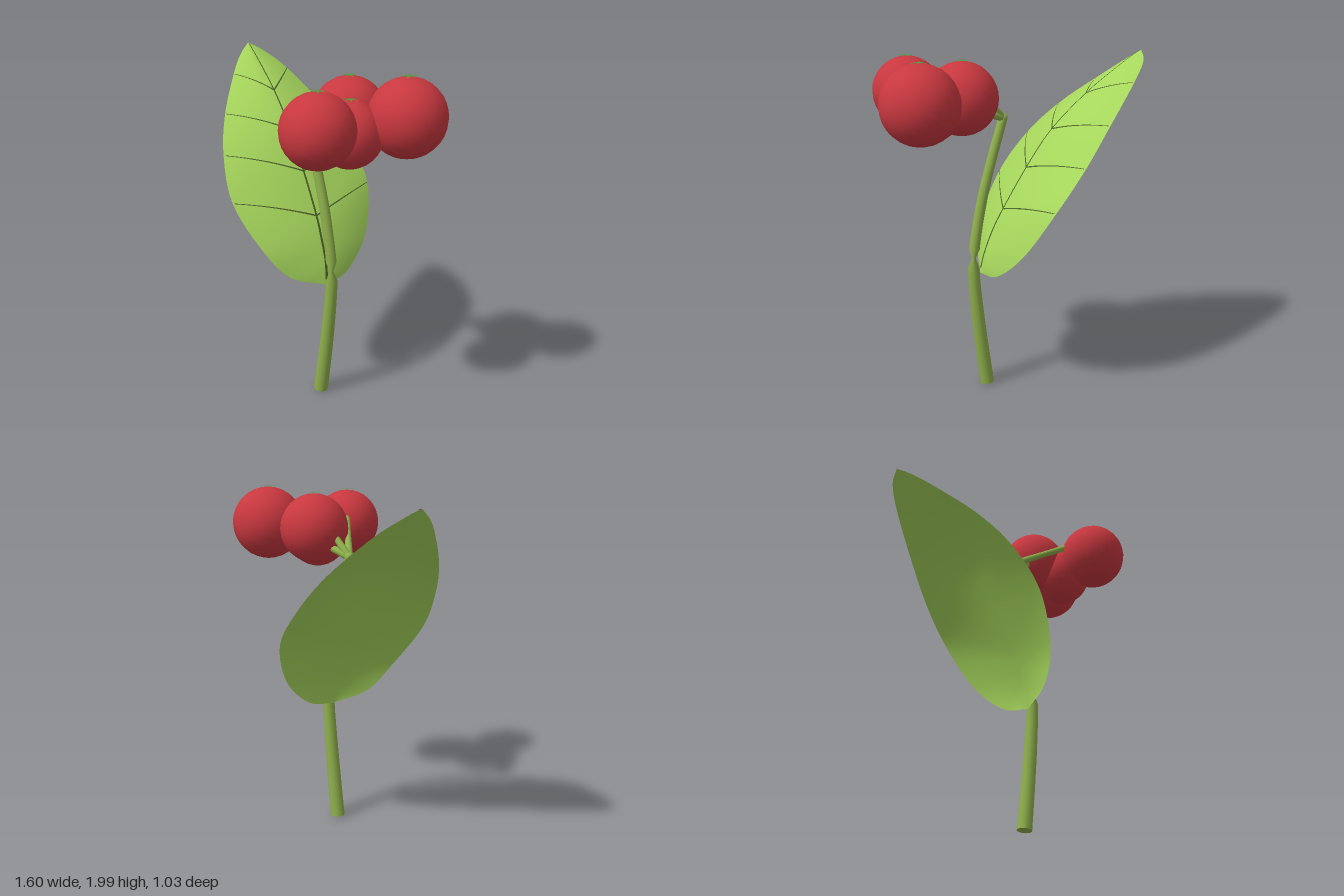
import * as THREE from 'three';

const V = (p) => new THREE.Vector3(...p);
const mat = (name, color, side = THREE.FrontSide) => {
  const m = new THREE.MeshStandardMaterial({ color, side });
  m.name = name;
  return m;
};

// Tube through points [x, y, z, radius], with the radius interpolated
function taperedTube(stops, rings, sides) {
  const curve = new THREE.CatmullRomCurve3(stops.map(([x, y, z]) => new THREE.Vector3(x, y, z)));
  curve.getPointAt = curve.getPoint;
  curve.getTangentAt = curve.getTangent;
  const geo = new THREE.TubeGeometry(curve, rings, 1, sides);
  const { position, normal } = geo.attributes;
  const n = new THREE.Vector3();
  for (let i = 0; i <= rings; i++) {
    const t = i / rings, f = t * (stops.length - 1);
    const k = Math.min(Math.floor(f), stops.length - 2);
    const r = THREE.MathUtils.lerp(stops[k][3], stops[k + 1][3], f - k);
    const c = curve.getPoint(t);
    for (let j = 0; j <= sides; j++) {
      const id = i * (sides + 1) + j;
      n.fromBufferAttribute(normal, id).multiplyScalar(r).add(c);
      position.setXYZ(id, n.x, n.y, n.z);
    }
  }
  return geo;
}

// Surface grid from a point function
function gridGeometry(point, rows, cols) {
  const pos = [], index = [];
  for (let i = 0; i <= rows; i++)
    for (let j = 0; j <= cols; j++) {
      pos.push(...point(i / rows, j / cols).toArray());
      if (i < rows && j < cols) {
        const a = i * (cols + 1) + j, b = a + cols + 1;
        index.push(a, a + 1, b, b, a + 1, b + 1);
      }
    }
  const geo = new THREE.BufferGeometry();
  geo.setAttribute('position', new THREE.Float32BufferAttribute(pos, 3));
  geo.setIndex(index);
  geo.computeVertexNormals();
  return geo;
}

// Leaf: midrib and two edges, sampled at matching stations
const BASE = [0.155, 0.73, 0], TIP = [-0.8, 1.97, -0.21];
const leafCurve = (pts) => new THREE.CatmullRomCurve3([BASE, ...pts, TIP].map(V), false, 'catmullrom', 0.5);
const midrib = leafCurve([[0.13, 0.86, -0.015], [0.08, 0.99, -0.025], [0.02, 1.11, -0.04], [-0.12, 1.34, -0.065],
  [-0.27, 1.55, -0.095], [-0.47, 1.74, -0.14], [-0.66, 1.88, -0.18]]);
const frontEdge = leafCurve([[0.06, 0.8, 0.19], [-0.04, 0.97, 0.31], [-0.22, 1.22, 0.375], [-0.38, 1.45, 0.31],
  [-0.53, 1.64, 0.18], [-0.69, 1.82, -0.01], [-0.765, 1.91, -0.12]]);
const backEdge = leafCurve([[0.15, 0.77, -0.18], [0.1, 0.94, -0.37], [-0.02, 1.2, -0.495], [-0.2, 1.42, -0.505],
  [-0.39, 1.62, -0.46], [-0.62, 1.82, -0.37], [-0.75, 1.92, -0.29]]);
const STATIONS = 8;

function leafPoint(t, u) {
  const s = Math.abs(u);
  const p = midrib.getPoint(t).lerp((u > 0 ? frontEdge : backEdge).getPoint(t), s);
  const bulge = 0.06 * s * (1 - s) * Math.sin(Math.PI * t);
  return p.add(new THREE.Vector3(bulge, bulge, 0));
}

function leafNormal(t, u) {
  const e = 0.01, c = THREE.MathUtils.clamp(t, 0.02, 0.98);
  const dt = leafPoint(c + e, u).sub(leafPoint(c - e, u));
  const du = leafPoint(c, u + e).sub(leafPoint(c, u - e));
  const n = dt.cross(du).normalize();
  return n.x + n.y < 0 ? n.negate() : n;
}

// Ribbon just above the leaf face, along (t, u) given by path(k)
function veinGeometry(path, w0, w1, lift) {
  return gridGeometry((k, side) => {
    const [t, u] = path(k);
    const a = leafPoint(...path(Math.max(k - 0.02, 0))), b = leafPoint(...path(Math.min(k + 0.02, 1)));
    const n = leafNormal(t, u);
    const across = b.sub(a).cross(n).normalize();
    return leafPoint(t, u).addScaledVector(n, lift)
      .addScaledVector(across, (side - 0.5) * THREE.MathUtils.lerp(w0, w1, k));
  }, 24, 1);
}

// Narrow six-pointed calyx with swept points
function calyxGeometry() {
  const shape = new THREE.Shape();
  for (let i = 0; i < 12; i++) {
    const r = i % 2 ? 0.014 : 0.056, a = (i / 12) * Math.PI * 2 + (i % 2 ? 0.22 : 0);
    shape[i ? 'lineTo' : 'moveTo'](r * Math.cos(a), r * Math.sin(a));
  }
  return new THREE.ShapeGeometry(shape).rotateX(-Math.PI / 2);
}

export function createModel() {
  const group = new THREE.Group();
  group.name = 'berrySprig';
  const stemMat = mat('stemGreen', 0x8fb04c);
  const leafMat = mat('leafGreen', 0xa6d65c, THREE.DoubleSide);
  const veinMat = mat('veinGreen', 0x4a5f28, THREE.DoubleSide);
  const berryMat = mat('berryRed', 0xc8383f);
  const calyxMat = mat('calyxGreen', 0x4f9a38, THREE.DoubleSide);
  const add = (name, geo, material, parent = group) => {
    const m = new THREE.Mesh(geo, material);
    m.name = name;
    parent.add(m);
    return m;
  };

  // Main stem with a pinched node
  add('lowerStem', taperedTube([[0.115, 0.01, 0, 0.043], [0.148, 0.25, 0, 0.041], [0.178, 0.5, 0, 0.038],
    [0.195, 0.68, 0, 0.035], [0.199, 0.77, 0, 0.034], [0.197, 0.83, 0, 0.01]], 40, 14), stemMat);
  add('upperStem', taperedTube([[0.197, 0.83, 0, 0.01], [0.193, 0.89, 0, 0.031], [0.168, 1.04, 0, 0.03],
    [0.128, 1.22, 0, 0.029], [0.075, 1.4, 0, 0.028], [0, 1.63, 0, 0.026]], 40, 14), stemMat);
  const cap = add('stemBase', new THREE.CircleGeometry(0.043, 14), stemMat);
  cap.position.set(0.115, 0.01, 0);
  cap.rotation.set(Math.PI / 2, -0.13, 0);
  add('stemJoint', new THREE.SphereGeometry(0.027, 14, 10), stemMat).position.set(0, 1.63, 0);

  // Berries with calyx and stalk: centre, radius, stalk end
  const berries = [
    [[0.425, 1.77, 0.32], 0.195, [0.3, 1.82, 0.22]],
    [[0.28, 1.77, -0.035], 0.198, [0.17, 1.79, -0.02]],
    [[0.585, 1.785, -0.15], 0.21, [0.45, 1.78, -0.1]],
    [[0.41, 1.705, 0.085], 0.178, [0.29, 1.74, 0.06]],
  ];
  berries.forEach(([c, r, end], i) => {
    const berry = new THREE.Group();
    berry.name = 'berry' + (i + 1);
    berry.position.set(...c);
    add('fruit', new THREE.SphereGeometry(r, 24, 16), berryMat, berry);
    const star = add('calyx', calyxGeometry(), calyxMat, berry);
    star.position.y = r + 0.004;
    star.rotation.y = 0.3 + i * 0.35;
    group.add(berry);
    const mid = end.map((v, k) => (v + [0, 1.63, 0][k]) / 2);
    add('stalk' + (i + 1), taperedTube([[0, 1.63, 0, 0.022], [...mid, 0.019], [...end, 0.019]], 10, 10), stemMat);
  });

  // Leaf blade and veins
  const leaf = new THREE.Group();
  leaf.name = 'leaf';
  group.add(leaf);
  add('blade', gridGeometry((t, v) => leafPoint(t, v * 2 - 1), 48, 24), leafMat, leaf);
  add('midVein', veinGeometry((k) => [0.03 + 0.96 * k, 0], 0.016, 0.005, 0.005), veinMat, leaf);
  for (const station of [3, 4, 5, 6])
    for (const side of [-1, 1])
      add('sideVein', veinGeometry((k) => [station / STATIONS, side * (0.01 + 0.97 * k)], 0.009, 0.004, 0.004), veinMat, leaf);

  return group;
}
